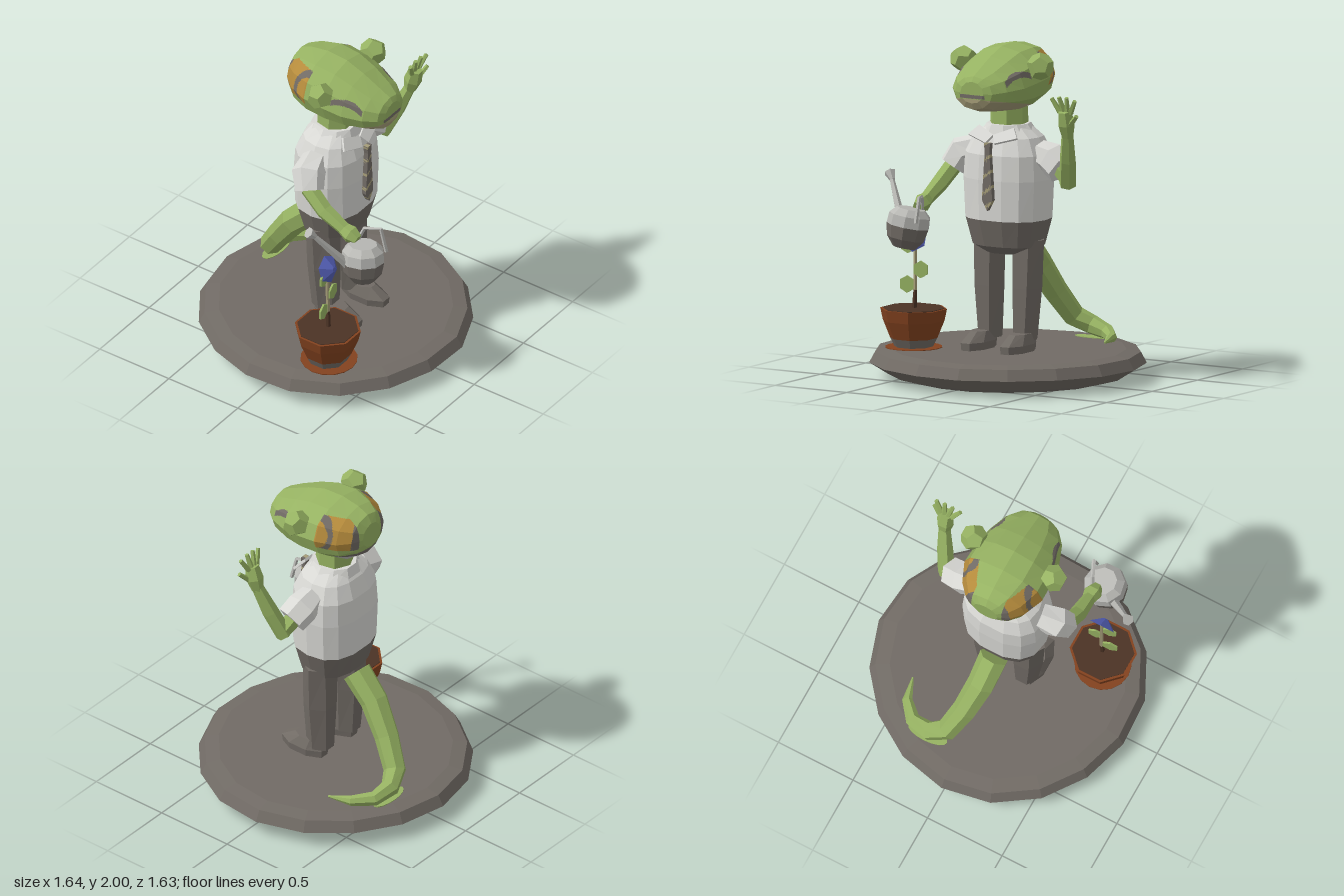
import * as THREE from 'three';

const V = (x, y, z) => new THREE.Vector3(x, y, z);
const mat = (name, color) => {
  const m = new THREE.MeshStandardMaterial({ color });
  m.name = name;
  return m;
};
const M = {
  green: mat('skin green', 0x96b262),
  tan: mat('pale tan', 0xa59d78),
  white: mat('shirt white', 0xd8d8d4),
  grey: mat('warm grey', 0x716b65),
  metal: mat('can grey', 0xb9b9b5),
  ochre: mat('ochre', 0xb58b3c),
  blue: mat('petal blue', 0x5560b8),
  clay: mat('clay', 0x83421f),
  soil: mat('soil brown', 0x4c3325),
};

// Faceted skin over rings that run counter-clockwise seen from the far end.
function loft(rings) {
  const pos = [], n = rings[0].length;
  const tri = (...ps) => ps.forEach((p) => pos.push(p.x, p.y, p.z));
  for (let i = 0; i + 1 < rings.length; i++) {
    for (let j = 0; j < n; j++) {
      const k = (j + 1) % n, a = rings[i], b = rings[i + 1];
      tri(a[j], a[k], b[k]);
      tri(a[j], b[k], b[j]);
    }
  }
  for (const [ring, end] of [[rings[0], false], [rings[rings.length - 1], true]]) {
    const c = ring.reduce((s, p) => s.add(p), V(0, 0, 0)).divideScalar(n);
    ring.forEach((p, j) => {
      const q = ring[(j + 1) % n];
      if (end) tri(c, p, q); else tri(c, q, p);
    });
  }
  return flat(pos);
}

function flat(pos) {
  const g = new THREE.BufferGeometry();
  g.setAttribute('position', new THREE.Float32BufferAttribute(pos, 3));
  g.computeVertexNormals();
  return g;
}

// Horizontal rounded-box ring; power below 1 squares it off.
function level(n, y, rx, rz, cx = 0, cz = 0, power = 1, wobble = 0) {
  const f = (v) => Math.sign(v) * Math.abs(v) ** power;
  return Array.from({ length: n }, (_, j) => {
    const a = ((j + 0.5) / n) * Math.PI * 2, w = 1 + wobble * Math.sin(j * 5);
    return V(cx + rx * w * f(Math.sin(a)), y, cz + rz * w * f(Math.cos(a)));
  });
}

// Tapered limb along a path, with rings carried along without twisting.
function limb(path, radii, sides = 6) {
  const pts = path.map((p) => V(...p)), q = new THREE.Quaternion();
  let prev = V(0, 0, 1);
  return loft(pts.map((p, i) => {
    const t = pts[Math.min(i + 1, pts.length - 1)].clone().sub(pts[Math.max(i - 1, 0)]).normalize();
    q.premultiply(new THREE.Quaternion().setFromUnitVectors(prev, t));
    prev = t;
    const r = Array.isArray(radii) ? radii[i] : radii;
    return Array.from({ length: sides }, (_, j) => {
      const a = (j / sides) * Math.PI * 2;
      return V(r * Math.cos(a), r * Math.sin(a), 0).applyQuaternion(q).add(p);
    });
  }));
}

// Split flat faces finely and sort them into colours by a rule on position.
function paint(geometry, depth, rule) {
  const buckets = new Map(), p = geometry.getAttribute('position');
  const split = (a, b, c, d) => {
    if (d > 0) {
      const ab = a.clone().lerp(b, 0.5), bc = b.clone().lerp(c, 0.5), ca = c.clone().lerp(a, 0.5);
      [[a, ab, ca], [ab, b, bc], [ca, bc, c], [ab, bc, ca]].forEach((t) => split(...t, d - 1));
      return;
    }
    const m = rule(a.clone().add(b).add(c).divideScalar(3));
    if (!buckets.has(m)) buckets.set(m, []);
    for (const v of [a, b, c]) buckets.get(m).push(v.x, v.y, v.z);
  };
  const at = (i) => V(0, 0, 0).fromBufferAttribute(p, i);
  for (let i = 0; i < p.count; i += 3) split(at(i), at(i + 1), at(i + 2), depth);
  const g = flat([...buckets.values()].flat());
  let start = 0;
  [...buckets.values()].forEach((b, i) => {
    g.addGroup(start, b.length / 3, i);
    start += b.length / 3;
  });
  return [g, [...buckets.keys()]];
}

// Markings on the head
function headColour({ x, y, z }) {
  const ax = Math.abs(x);
  if (z > 0.33 && ax < 0.085 && Math.abs(y - 1.73) < 0.011) return M.grey;
  if (z > 0.12 && z < 0.31 && ax > 0.1 && Math.abs(y - 1.85 + 3.3 * (z - 0.19) ** 2) < 0.017) return M.grey;
  if (z < -0.13 && y < 1.73 - 0.25 * (z + 0.28)) {
    return ax > 0.04 && y > 1.64 && y < 1.69 ? M.metal : M.grey;
  }
  if (z < -0.05 && ax > 0.1 && y > 1.76 && y < 1.95) {
    const d = Math.hypot(z + 0.04, y - 1.84);
    return (d > 0.085 && d < 0.115) || d > 0.21 ? M.grey : M.ochre;
  }
  return y < 1.645 + 0.17 * z ? M.tan : M.green;
}

export function createModel() {
  const model = new THREE.Group();
  const add = (name, geometry, material) => {
    const g = geometry.index ? geometry.toNonIndexed() : geometry;
    g.computeVertexNormals();
    const m = new THREE.Mesh(g, material);
    m.name = name;
    model.add(m);
    return m;
  };

  // Stone base with the spots under the pot and tail
  add('base', loft([[0, 0.6], [0.03, 0.71], [0.1, 0.82], [0.165, 0.785], [0.18, 0.7]]
    .map(([y, r]) => level(17, y, r, r, 0, 0, 1, 0.012))), M.grey);
  add('potSpot', new THREE.CylinderGeometry(0.17, 0.17, 0.006, 16).translate(-0.48, 0.181, 0.29), M.clay);
  add('tailSpot', new THREE.CylinderGeometry(1, 1, 0.006, 16).scale(0.13, 1, 0.05).translate(0.22, 0.181, -0.59), M.green);

  // Body
  add('trousersTop', loft([[0.75, 0.13, 0.1], [0.8, 0.215, 0.17], [0.96, 0.255, 0.21]]
    .map(([y, x, z]) => level(14, y, x, z, 0, 0, 0.8))), M.grey);
  add('shirt', loft([[0.96, 0.256, 0.211], [1.2, 0.268, 0.216], [1.35, 0.258, 0.207], [1.45, 0.21, 0.165], [1.51, 0.13, 0.12]]
    .map(([y, x, z]) => level(14, y, x, z, 0, 0, 0.8))), M.white);
  add('neck', loft([level(7, 1.46, 0.12, 0.12), level(7, 1.66, 0.11, 0.11)]), M.green);

  // Tail
  add('tail', limb([[0, 0.78, -0.17], [0.01, 0.64, -0.31], [0.05, 0.46, -0.44], [0.11, 0.3, -0.55], [0.21, 0.25, -0.595],
    [0.33, 0.22, -0.57], [0.42, 0.21, -0.47], [0.46, 0.2, -0.33]], [0.09, 0.085, 0.075, 0.068, 0.058, 0.045, 0.032, 0.006], 7), M.green);

  // Head: sections from back to snout (z, centre y, half width, up, down)
  const head = [[-0.28, 1.82, 0.08, 0.08, 0.08], [-0.25, 1.82, 0.15, 0.13, 0.14], [-0.18, 1.81, 0.21, 0.17, 0.18],
    [-0.06, 1.81, 0.26, 0.19, 0.2], [0.08, 1.79, 0.255, 0.2, 0.19], [0.2, 1.77, 0.235, 0.175, 0.155],
    [0.32, 1.76, 0.19, 0.125, 0.13], [0.39, 1.75, 0.13, 0.1, 0.1], [0.41, 1.75, 0.08, 0.07, 0.06]];
  add('head', ...paint(loft(head.map(([z, y, w, up, down]) => Array.from({ length: 12 }, (_, j) => {
    const a = (j / 12) * Math.PI * 2, s = Math.sin(a);
    return V(w * Math.cos(a), y + s * (s > 0 ? up : down), z);
  }))), 4, headColour));

  for (const s of [-1, 1]) {
    const side = s > 0 ? 'left' : 'right';
    add(side + 'EyeBump', new THREE.DodecahedronGeometry(0.083).rotateZ(0.4 * s).translate(0.268 * s, 1.89, 0.075), M.green);
    // Legs and shoes
    add(side + 'Leg', loft([level(6, 0.24, 0.075, 0.085, 0.122 * s, 0.01), level(6, 0.55, 0.1, 0.1, 0.132 * s, 0.005),
      level(6, 0.84, 0.112, 0.1, 0.135 * s, 0)]), M.grey);
    add(side + 'Shoe', loft([level(8, 0.18, 0.075, 0.16, 0.137 * s, 0.115), level(8, 0.225, 0.08, 0.165, 0.137 * s, 0.115),
      level(8, 0.285, 0.055, 0.1, 0.135 * s, 0.08)]), M.grey);
    // Collar flaps
    const flap = new THREE.Shape([[0, 0.01], [0.12, 0.07], [0.17, 0], [0.03, -0.05]].map(([x, y]) => new THREE.Vector2(x * s, y)));
    add(side + 'Collar', new THREE.ExtrudeGeometry(flap, { depth: 0.015, bevelEnabled: false })
      .rotateX(-0.7).translate(0, 1.455, 0.17), M.white);
  }
  add('collarBand', loft([level(10, 1.46, 0.18, 0.16), level(10, 1.525, 0.13, 0.135)]), M.white);

  // Striped tie
  const tie = new THREE.Shape([[-0.022, 1.43], [-0.016, 1.38], [-0.036, 1.09], [0, 1.025], [0.036, 1.09], [0.016, 1.38], [0.022, 1.43]]
    .map((p) => new THREE.Vector2(...p)));
  const tieGeometry = new THREE.ExtrudeGeometry(tie, { depth: 0.03, bevelEnabled: false }).translate(0, 0, 0.212);
  add('tie', ...paint(tieGeometry.index ? tieGeometry.toNonIndexed() : tieGeometry, 4,
    (p) => ((p.y - p.x * 0.7) % 0.095 < 0.018 ? M.tan : M.grey)));

  // Raised left arm with an open hand
  add('leftSleeve', limb([[0.21, 1.36, 0], [0.3, 1.33, 0], [0.38, 1.275, 0.02]], [0.08, 0.1, 0.095]), M.white);
  add('leftUpperArm', limb([[0.36, 1.29, 0.01], [0.435, 1.215, 0.035]], [0.055, 0.045]), M.green);
  add('leftForearm', limb([[0.43, 1.19, 0.03], [0.475, 1.35, 0.1], [0.52, 1.54, 0.175]], [0.052, 0.05, 0.035]), M.green);
  add('leftPalm', limb([[0.515, 1.5, 0.165], [0.52, 1.58, 0.185], [0.52, 1.66, 0.205]], [0.036, 0.055, 0.042]).translate(0, 0, 0), M.green);
  [[0.485, 1.65, 0.44, 1.735], [0.51, 1.66, 0.492, 1.745], [0.535, 1.66, 0.545, 1.745], [0.555, 1.65, 0.602, 1.73], [0.555, 1.58, 0.615, 1.64]]
    .forEach(([x0, y0, x1, y1], i) => add('leftFinger' + (i + 1),
      limb([[x0, y0, 0.2], [x1, y1, 0.225]], [0.018, 0.013], 5), M.green));

  // Right arm holding the can
  add('rightSleeve', limb([[-0.21, 1.36, 0], [-0.31, 1.325, 0.02], [-0.355, 1.24, 0.06]], [0.08, 0.1, 0.085]), M.white);
  add('rightForearm', limb([[-0.35, 1.25, 0.05], [-0.37, 1.15, 0.18], [-0.37, 1.07, 0.34]], [0.055, 0.052, 0.04]), M.green);
  add('rightHand', limb([[-0.37, 1.08, 0.31], [-0.37, 1.06, 0.37], [-0.37, 1.04, 0.42]], [0.04, 0.055, 0.035]), M.green);

  // Watering can
  const can = (rows) => loft(rows.map(([y, r]) => level(9, y, r, r))).rotateZ(-0.15).rotateX(-0.1).translate(-0.4, 0.93, 0.48);
  add('canBottom', can([[-0.125, 0.07], [-0.07, 0.115], [0.005, 0.13]]), M.grey);
  add('canTop', can([[0.005, 0.13], [0.07, 0.125], [0.11, 0.085]]), M.metal);
  add('canSpout', limb([[-0.48, 0.93, 0.42], [-0.635, 1.175, 0.29]], [0.03, 0.015], 5), M.metal);
  add('canRose', limb([[-0.625, 1.165, 0.295], [-0.66, 1.205, 0.27]], [0.015, 0.036]), M.metal);
  add('canHandle', limb([[-0.35, 1.01, 0.4], [-0.33, 1.11, 0.44], [-0.29, 1.12, 0.53], [-0.29, 0.97, 0.57]], 0.012, 4), M.metal);

  // Flower pot
  const pot = (rows) => loft(rows.map(([y, r]) => level(8, y, r, r, -0.485, 0.285)));
  add('potFoot', pot([[0.18, 0.115], [0.235, 0.142]]), M.grey);
  add('pot', pot([[0.235, 0.142], [0.34, 0.185], [0.41, 0.2]]), M.clay);
  add('soil', pot([[0.405, 0.185], [0.414, 0.185]]), M.soil);

  // Flower
  add('stemBase', limb([[-0.48, 0.4, 0.285], [-0.475, 0.52, 0.28]], [0.016, 0.012], 5), M.soil);
  add('stem', limb([[-0.475, 0.5, 0.28], [-0.48, 0.88, 0.275]], 0.012, 5), M.tan);
  [[-0.525, 0.785, 0.05], [-0.435, 0.645, 0.052], [-0.53, 0.55, 0.052]].forEach(([x, y, r], i) =>
    add('leaf' + (i + 1), new THREE.CylinderGeometry(r, r, 0.012, 6).rotateX(Math.PI / 2).rotateY(0.15).translate(x, y, 0.285), M.green));
  add('flower', new THREE.CylinderGeometry(0.015, 0.088, 0.05, 6).rotateX(Math.PI / 2 - 0.3).translate(-0.48, 0.84, 0.305), M.blue);

  return model;
}
